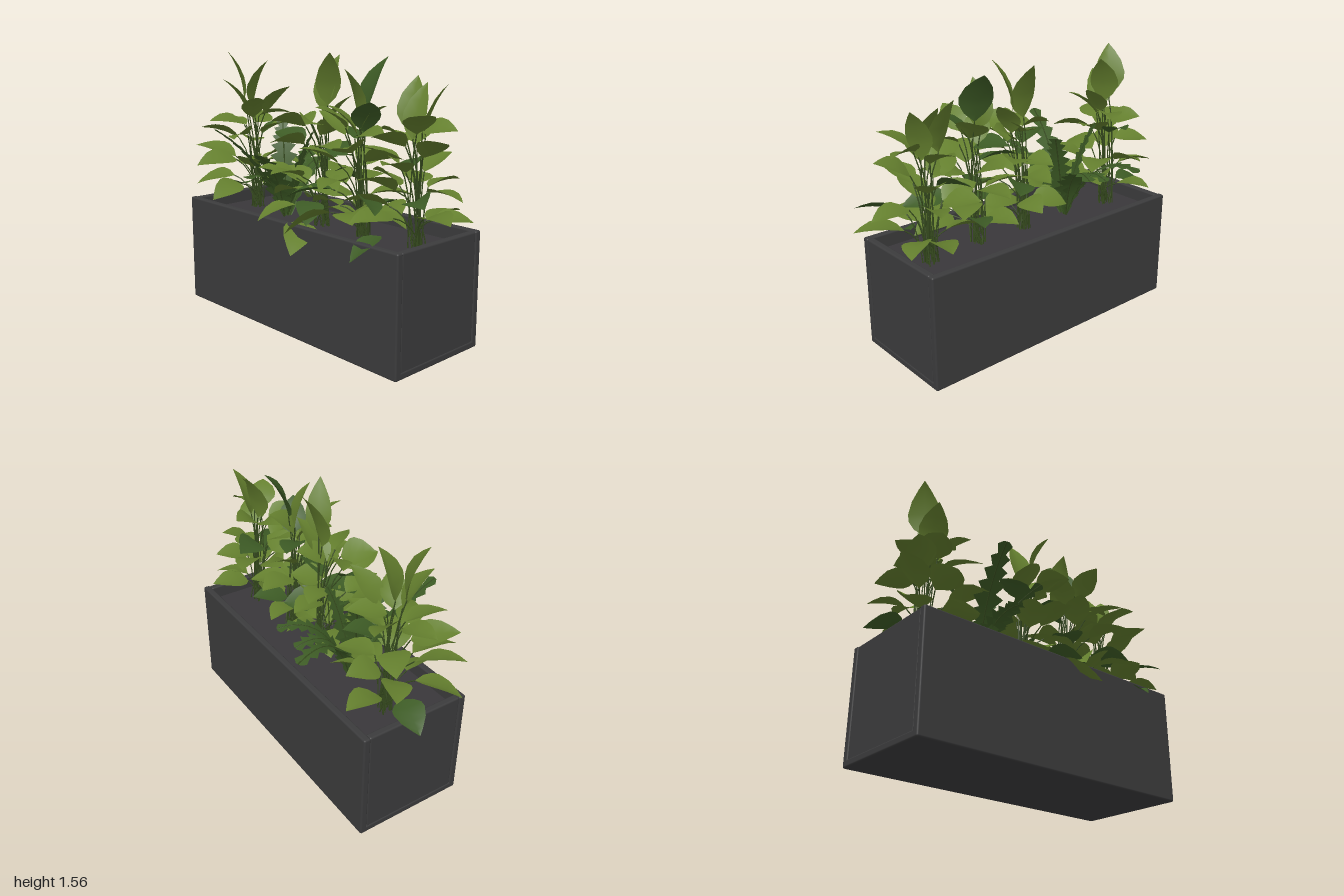
import * as THREE from 'three';
import { RoundedBoxGeometry } from 'three/addons/geometries/RoundedBoxGeometry.js';

const V = (x, y, z) => new THREE.Vector3(x, y, z);
const UP = V(0, 1, 0);

const mat = (name, color, side = THREE.FrontSide) => {
  const m = new THREE.MeshStandardMaterial({ color, side });
  m.name = name;
  return m;
};

// small seeded random, returns -1..1
function makeJitter(seed) {
  let s = seed;
  return () => {
    s = (s * 16807) % 2147483647;
    return (s / 2147483647) * 2 - 1;
  };
}

// strip of left / midrib / right points, one row per cross-section
function ribbon(rows) {
  const pos = [], index = [];
  rows.forEach((row, i) => {
    row.forEach((p) => pos.push(p.x, p.y, p.z));
    if (!i) return;
    for (let k = 0; k < 2; k++) {
      const a = (i - 1) * 3 + k, b = a + 1, c = a + 3, d = a + 4;
      index.push(a, b, c, b, d, c);
    }
  });
  const g = new THREE.BufferGeometry();
  g.setAttribute('position', new THREE.Float32BufferAttribute(pos, 3));
  g.setIndex(index);
  g.computeVertexNormals();
  return g;
}

// broad pointed leaf, folded at the midrib, arched and rolled about its length
const OUTLINE = [[0, 0.04], [0.12, 0.62], [0.28, 0.96], [0.42, 1], [0.65, 0.78], [0.85, 0.38], [1, 0.01]];
function leafGeometry(base, tip, width, roll) {
  const dir = tip.clone().sub(base), len = dir.length();
  const side = dir.clone().cross(UP).normalize().applyAxisAngle(dir.clone().normalize(), roll);
  const normal = side.clone().cross(dir).normalize();
  return ribbon(OUTLINE.map(([t, w]) => {
    const mid = base.clone().addScaledVector(dir, t).addScaledVector(normal, len * 0.3 * t * (1 - t));
    const half = (w * width) / 2;
    const edge = (s) => mid.clone().addScaledVector(side, s * half).addScaledVector(normal, half * 0.25);
    return [edge(-1), mid, edge(1)];
  }));
}

// arching frond with saw-toothed leaflets
function frondGeometry(curve, width, teeth) {
  const rows = [];
  for (let i = 0; i <= teeth * 2; i++) {
    const t = i / (teeth * 2);
    const mid = curve.getPoint(t), dir = curve.getTangent(t);
    const side = dir.clone().cross(UP).normalize();
    const envelope = Math.min(1, 0.15 + t * 3) * (1 - 0.65 * t * t);
    const half = (width / 2) * envelope * (i % 2 ? 1 : 0.45);
    const sweep = i % 2 ? 0.015 : 0;
    const edge = (s) => mid.clone().addScaledVector(side, s * half).addScaledVector(dir, sweep);
    rows.push([edge(-1), mid, edge(1)]);
  }
  return ribbon(rows);
}

// leaf tiers: count, base radius, base height, length, width, pitch in degrees
const TIERS = [
  [5, 0.05, 1.14, 0.22, 0.16, 20],
  [5, 0.08, 1.01, 0.24, 0.17, 10],
  [6, 0.11, 0.86, 0.25, 0.17, 4],
  [6, 0.12, 0.75, 0.26, 0.17, -8],
];

// plants: foot, forward lean, reach, seed, deep green share, crown leaves as base xyz, tip xyz, width, dark
const PLANTS = [
  { foot: [-0.65, -0.03], lean: 0.03, reach: 0.94, seed: 11, turn: 0.5, darkEvery: 9, crown: [
    [-0.7, 1.25, 0.02, -0.76, 1.54, 0.09, 0.18, 0],
    [-0.64, 1.22, 0, -0.55, 1.49, -0.05, 0.17, 0],
    [-0.56, 1.17, -0.03, -0.4, 1.34, -0.1, 0.14, 0],
    [-0.66, 1.18, 0.03, -0.71, 1.38, 0.17, 0.16, 0]] },
  { foot: [0, 0], lean: 0.07, reach: 0.84, seed: 47, turn: 1.1, darkEvery: 7, crown: [
    [0, 1.23, 0, 0.02, 1.54, -0.11, 0.17, 0],
    [0.06, 1.27, 0.02, 0.15, 1.56, 0.09, 0.14, 0],
    [0.07, 1.15, 0.02, 0.2, 1.33, -0.03, 0.14, 0]] },
  { foot: [0.33, 0], lean: 0.09, reach: 0.94, seed: 83, turn: 0.2, darkEvery: 4, crown: [
    [0.34, 1.27, 0, 0.37, 1.54, -0.13, 0.19, 1],
    [0.29, 1.22, 0.01, 0.27, 1.48, 0.1, 0.15, 0],
    [0.35, 1.15, 0.03, 0.48, 1.32, 0.12, 0.16, 1],
    [0.3, 1.13, 0.03, 0.2, 1.29, 0.16, 0.15, 0]] },
  { foot: [0.67, -0.04], lean: 0.04, reach: 0.92, seed: 131, turn: 0.8, darkEvery: 8, crown: [
    [0.61, 1.17, -0.05, 0.57, 1.45, -0.14, 0.16, 0],
    [0.71, 1.15, -0.04, 0.8, 1.42, -0.1, 0.14, 0],
    [0.66, 1.14, 0, 0.65, 1.42, -0.12, 0.14, 0]] },
];

// fern frond tips and bend heights
const FRONDS = [
  [-0.47, 0.92, -0.45, 1.02], [-0.15, 0.92, -0.38, 1.0], [-0.3, 0.88, -0.36, 0.98],
  [-0.47, 1.13, -0.1, 0.98], [-0.17, 1.09, -0.08, 0.95],
  [-0.45, 1.12, 0.42, 0.95], [-0.16, 1.0, 0.36, 0.92], [-0.28, 0.85, 0.33, 0.9],
];

export function createModel() {
  const model = new THREE.Group();
  model.name = 'planterBox';
  const planterMat = mat('charcoal planter', 0x3b3b3c);
  const soilMat = mat('dark soil', 0x39373a);
  const leafMat = mat('olive leaf', 0x647f2e, THREE.DoubleSide);
  const darkLeafMat = mat('deep green leaf', 0x3d5b25, THREE.DoubleSide);
  const stemMat = mat('stem green', 0x364b1e);

  const add = (parent, name, geometry, material) => {
    const m = new THREE.Mesh(geometry, material);
    m.name = name;
    parent.add(m);
    return m;
  };

  // planter: base, long panels, inset end panels and soil
  const planter = new THREE.Group();
  planter.name = 'planter';
  model.add(planter);
  const panel = (name, w, h, d, x, y, z) =>
    add(planter, name, new RoundedBoxGeometry(w, h, d, 3, 0.01), planterMat).position.set(x, y, z);
  panel('basePlate', 1.73, 0.04, 0.65, 0, 0.02, 0);
  for (const s of [-1, 1]) {
    panel(s > 0 ? 'frontPanel' : 'backPanel', 1.73, 0.65, 0.04, 0, 0.325, s * 0.305);
    panel(s > 0 ? 'leftPanel' : 'rightPanel', 0.04, 0.62, 0.574, s * 0.841, 0.338, 0);
  }
  add(planter, 'soil', new THREE.BoxGeometry(1.66, 0.04, 0.58), soilMat).position.y = 0.55;

  // broad-leaved plants
  PLANTS.forEach(({ foot: [fx, fz], lean, reach, seed, turn, darkEvery, crown }) => {
    const plant = new THREE.Group();
    plant.name = 'leafyPlant';
    model.add(plant);
    const jitter = makeJitter(seed * 7919);

    const addLeaf = (base, tip, width, dark, roll) => {
      add(plant, 'leaf', leafGeometry(base, tip, width, roll), dark ? darkLeafMat : leafMat);
      const foot = V(fx + jitter() * 0.04, 0.56, fz + jitter() * 0.04);
      const bend = V(foot.x * 0.75 + base.x * 0.25, base.y * 0.8 + 0.12, foot.z * 0.75 + base.z * 0.25);
      const path = new THREE.QuadraticBezierCurve3(foot, bend, base);
      add(plant, 'stem', new THREE.TubeGeometry(path, 6, 0.0035, 5), stemMat);
    };

    crown.forEach(([a, b, c, d, e, f, w, dark]) =>
      addLeaf(V(a, b, c), V(d, e, f), w, dark, jitter() * 0.2));

    let n = 0;
    TIERS.forEach(([count, r0, y0, len, width, pitch], tier) => {
      for (let i = 0; i < count; i++) {
        const az = turn + tier * 0.6 + (i / count) * Math.PI * 2 + jitter() * 0.25;
        const out = V(Math.cos(az), 0, Math.sin(az));
        const k = reach * (1 + 0.1 * out.z);
        const base = V(fx, y0 + jitter() * 0.05, fz + lean).addScaledVector(out, r0 * k);
        const p = THREE.MathUtils.degToRad(pitch + jitter() * 18);
        const l = len * k * (1 + jitter() * 0.08);
        const tip = base.clone().addScaledVector(out, l * Math.cos(p));
        tip.y += l * Math.sin(p);
        addLeaf(base, tip, width * (1 + jitter() * 0.12), ++n % darkEvery === 0, jitter() * 0.5);
      }
    });
  });

  // leaves drooping through the front edge
  add(model, 'droopingLeaf', leafGeometry(V(0.07, 0.63, 0.2), V(0.21, 0.52, 0.43), 0.18, -0.2), leafMat);
  add(model, 'droopingLeaf', leafGeometry(V(0.64, 0.67, 0.2), V(0.62, 0.57, 0.4), 0.13, 0), darkLeafMat);

  // fern
  const fern = new THREE.Group();
  fern.name = 'fern';
  model.add(fern);
  FRONDS.forEach(([x, y, z, bendY]) => {
    const foot = V(-0.32, 0.57, z * 0.06);
    const bend = V(-0.32 * 0.5 + x * 0.5, bendY, z * 0.35);
    const curve = new THREE.QuadraticBezierCurve3(foot, bend, V(x, y, z));
    add(fern, 'frond', frondGeometry(curve, 0.2, 9), darkLeafMat);
    add(fern, 'frondStem', new THREE.TubeGeometry(curve, 10, 0.004, 5), stemMat);
  });

  return model;
}
